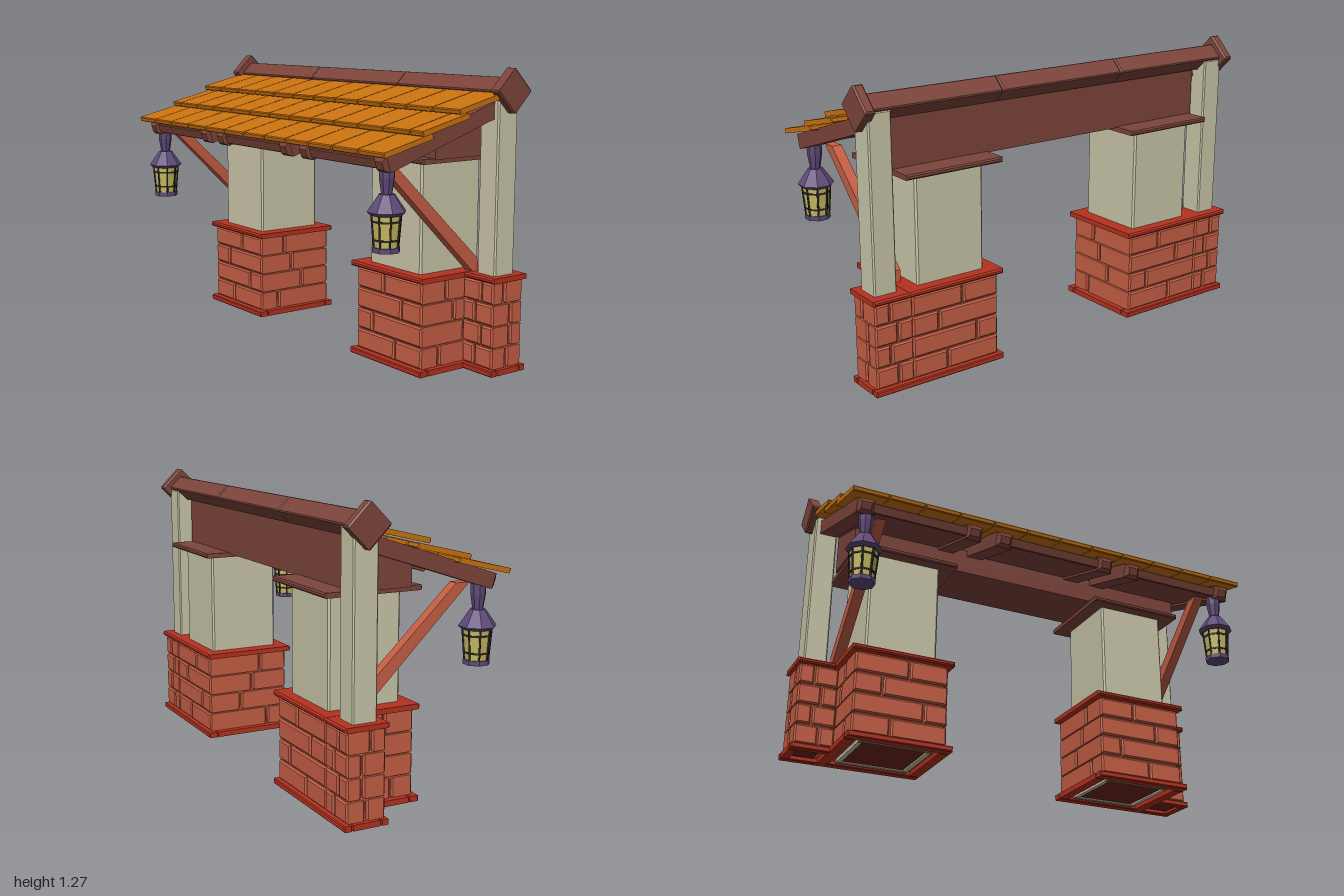
import * as THREE from 'three';

const mat = (name, color) => {
  const m = new THREE.MeshStandardMaterial({ color });
  m.name = name;
  return m;
};

export function createModel() {
  const brick = mat('brick', 0xc65f45), trim = mat('red trim', 0xb5321f);
  const plaster = mat('plaster', 0xcbc7aa), wood = mat('brown wood', 0x7d453b);
  const tileMat = mat('orange tile', 0xc9720f), purple = mat('purple metal', 0x5f4a78);
  const glass = mat('yellow glass', 0xc8ba62), iron = mat('dark iron', 0x2b2624);
  const cellar = mat('dark red', 0x6e241c);

  const model = new THREE.Group();
  model.name = 'roofedGateway';

  const add = (parent, name, geo, m, x = 0, y = 0, z = 0) => {
    const mesh = new THREE.Mesh(geo, m);
    mesh.name = name;
    mesh.position.set(x, y, z);
    parent.add(mesh);
    return mesh;
  };
  const group = (parent, name) => {
    const g = new THREE.Group();
    g.name = name;
    parent.add(g);
    return g;
  };

  // Box with chamfered edges, centred on the origin
  const chamferBox = (w, h, d, c = 0.006) => {
    const a = w / 2 - c, b = h / 2 - c;
    const s = new THREE.Shape([[-a, -b], [a, -b], [a, b], [-a, b]].map(p => new THREE.Vector2(...p)));
    const g = new THREE.ExtrudeGeometry(s, {
      depth: d - 2 * c, bevelEnabled: true, bevelThickness: c, bevelSize: c, bevelSegments: 1,
    });
    return g.translate(0, 0, -d / 2 + c);
  };
  // Chamfered box given by its limits
  const block = (parent, name, m, x0, x1, y0, y1, z0, z1, c) =>
    add(parent, name, chamferBox(x1 - x0, y1 - y0, z1 - z0, c), m, (x0 + x1) / 2, (y0 + y1) / 2, (z0 + z1) / 2);

  // Flat rectangular ring, open in the middle
  const ring = (parent, name, m, x0, x1, y0, y1, z0, z1, t) => {
    block(parent, name, m, x0, x1, y0, y1, z0, z0 + t, 0.004);
    block(parent, name, m, x0, x1, y0, y1, z1 - t, z1, 0.004);
    block(parent, name, m, x0, x0 + t, y0, y1, z0 + t, z1 - t, 0.004);
    block(parent, name, m, x1 - t, x1, y0, y1, z0 + t, z1 - t, 0.004);
  };

  // Four brick courses, each split in both directions at alternating places
  const brickwork = (parent, x0, x1, z0, z1, xs, zs) => {
    const gap = 0.004;
    block(parent, 'mortarCore', brick, x0 + 0.012, x1 - 0.012, 0.02, 0.4, z0 + 0.012, z1 - 0.012);
    for (let r = 0; r < 4; r++) {
      const y0 = 0.027 + r * 0.0925, y1 = y0 + 0.086;
      const xm = x0 + (x1 - x0) * xs[r], zm = z0 + (z1 - z0) * zs[r];
      for (const [a, b] of [[x0, xm - gap], [xm + gap, x1]])
        for (const [c, d] of [[z0, zm - gap], [zm + gap, z1]])
          block(parent, 'brick', brick, a, b, y0, y1, c, d, 0.007);
    }
  };

  // Eight-sided frustum with hard facets and flat sides facing the axes
  const octagon = (top, bottom, h) => {
    const k = 1 / Math.cos(Math.PI / 8);
    const g = new THREE.CylinderGeometry(top * k, bottom * k, h, 8).rotateY(Math.PI / 8).toNonIndexed();
    g.computeVertexNormals();
    return g;
  };

  // Hanging lantern; y values are heights above the ground
  const lantern = (x, z) => {
    const g = group(model, 'lantern');
    g.position.set(x, 0, z);
    const part = (name, m, y0, y1, r0, r1) => add(g, name, octagon(r1, r0, y1 - y0), m, 0, (y0 + y1) / 2, 0);
    part('hangerCap', purple, 0.865, 0.905, 0.03, 0.03);
    part('hanger', purple, 0.795, 0.865, 0.02, 0.03);
    part('lanternRoof', purple, 0.732, 0.8, 0.074, 0.03);
    part('lanternEave', purple, 0.718, 0.732, 0.06, 0.074);
    part('lanternGlass', glass, 0.59, 0.72, 0.046, 0.056);
    part('lanternBase', purple, 0.572, 0.592, 0.052, 0.052);
    part('upperBand', iron, 0.69, 0.698, 0.0565, 0.0572);
    part('lowerBand', iron, 0.617, 0.625, 0.0505, 0.0512);
    for (let i = 0; i < 8; i++) {
      const a = Math.PI / 8 + i * Math.PI / 4;
      const at = (r, y) => new THREE.Vector3(Math.cos(a) * r, y, Math.sin(a) * r);
      const curve = new THREE.LineCurve3(at(0.05, 0.59), at(0.061, 0.72));
      add(g, 'lanternBar', new THREE.TubeGeometry(curve, 1, 0.005, 4), iron);
    }
  };

  for (const s of [-1, 1]) {
    // Limits are given for the left side and mirrored for the right
    const side = group(model, s > 0 ? 'leftSide' : 'rightSide');
    const mx = (x0, x1) => (s > 0 ? [x0, x1] : [-x1, -x0]);
    const [m0, m1] = mx(0.385, 0.81), [n0, n1] = mx(0.81, 0.985);
    const flip = list => list.map(v => (s > 0 ? v : 1 - v));

    // Brick bases
    const base = group(side, 'brickBase');
    brickwork(base, m0, m1, -0.37, 0.037, flip([0.6, 0.25, 0.7, 0.42]), [0.75, 0.4, 0.55, 0.66]);
    brickwork(base, n0, n1, -0.37, -0.197, flip([0.4, 0.6, 0.4, 0.6]), [0.5, 0.4, 0.4, 0.62]);
    const [t0, t1] = mx(0.362, 0.83), [u0, u1] = mx(0.8, 0.997);
    ring(base, 'bottomTrim', trim, t0, t1, 0, 0.025, -0.385, 0.058, 0.045);
    ring(base, 'smallBottomTrim', trim, u0, u1, 0, 0.025, -0.385, -0.185, 0.035);
    block(base, 'topTrim', trim, t0, t1, 0.395, 0.418, -0.385, 0.058, 0.007);
    block(base, 'smallTopTrim', trim, u0, u1, 0.395, 0.417, -0.385, -0.185, 0.007);
    const [c0, c1] = mx(0.43, 0.76);
    ring(base, 'pillarFoot', plaster, c0, c1, 0.005, 0.04, -0.33, 0, 0.02);
    block(base, 'floorPlate', cellar, c0 + 0.015, c1 - 0.015, 0.013, 0.03, -0.315, -0.015, 0.002);
    const [e0, e1] = mx(0.86, 0.965);
    block(base, 'smallFloorPlate', cellar, e0, e1, 0.013, 0.03, -0.335, -0.225, 0.002);

    // Pillar with its capital, slim post and diagonal brace
    block(side, 'pillar', plaster, c0, c1, 0.41, 0.9, -0.33, 0, 0.008);
    block(side, 'pillarCapital', wood, t0, t1, 0.888, 0.91, -0.385, 0.058, 0.006);
    block(side, 'post', plaster, e0, e1, 0.41, 1.17, -0.335, -0.225, 0.006);
    const p = [[0.28, 0.905], [0.215, 0.905], [-0.25, 0.47], [-0.25, 0.415], [-0.225, 0.415]];
    const braceShape = new THREE.Shape(p.map(([z, y]) => new THREE.Vector2(-z, y)));
    const brace = new THREE.ExtrudeGeometry(braceShape, { depth: 0.046, bevelEnabled: false });
    brace.rotateY(Math.PI / 2);
    add(side, 'brace', brace, brick, s * 0.815 - 0.023, 0, 0);

    // Diamond cap at the ridge end
    const cap = add(side, 'ridgeCap', chamferBox(0.046, 0.136, 0.136, 0.007), wood, s * 0.974, 1.18, -0.283);
    cap.rotation.x = Math.PI / 4;

    lantern(s * 0.885, 0.29);
  }

  // Long wall beam with a sloping top
  const beamShape = new THREE.Shape([[0, 0.905], [0.27, 0.905], [0.27, 1.13], [0, 1.02]].map(v => new THREE.Vector2(...v)));
  const beam = new THREE.ExtrudeGeometry(beamShape, { depth: 1.68, bevelEnabled: false });
  add(model, 'wallBeam', beam.rotateY(Math.PI / 2), wood, -0.84, 0, 0);

  // Roof frame: three boarded panels, each edged by two rafters
  const frame = group(model, 'roofFrame');
  frame.position.set(0, 1.013, 0.04);
  frame.rotation.x = 0.317;
  for (const [x0, x1] of [[-0.94, -0.365], [-0.295, 0.295], [0.365, 0.94]]) {
    block(frame, 'roofBoard', wood, x0 + 0.03, x1 - 0.03, -0.022, 0.022, -0.31, 0.305, 0.004);
    for (const x of [x0 + 0.038, x1 - 0.038])
      add(frame, 'rafter', chamferBox(0.076, 0.066, 0.635, 0.016), wood, x, 0, 0);
  }

  // Ridge in three lengths
  for (let i = -1; i <= 1; i++) {
    const ridge = add(model, 'ridge', chamferBox(0.648, 0.082, 0.082, 0.005), wood, i * 0.651, 1.178, -0.283);
    ridge.rotation.x = Math.PI / 4;
  }

  // Three overlapping tile rows, the middle one shifted by half a tile
  const pitch = 1.956 / 12;
  const rows = [[0.257, 0.991, 0.255], [0.065, 1.061, 0.255], [-0.118, 1.134, 0.24]];
  rows.forEach(([z, y, length], r) => {
    const row = group(model, 'tileRow');
    row.position.set(0, y, z);
    row.rotation.x = 0.237;
    const shift = r === 1 ? pitch / 2 : 0;
    for (let i = 0; i < (r === 1 ? 13 : 12); i++) {
      const x0 = Math.max(-0.978, -0.978 + i * pitch - shift);
      const x1 = Math.min(0.978, -0.978 + (i + 1) * pitch - shift);
      block(row, 'tile', tileMat, x0 + 0.002, x1 - 0.002, -0.011, 0.011, -length / 2, length / 2, 0.004);
    }
  });

  return model;
}
